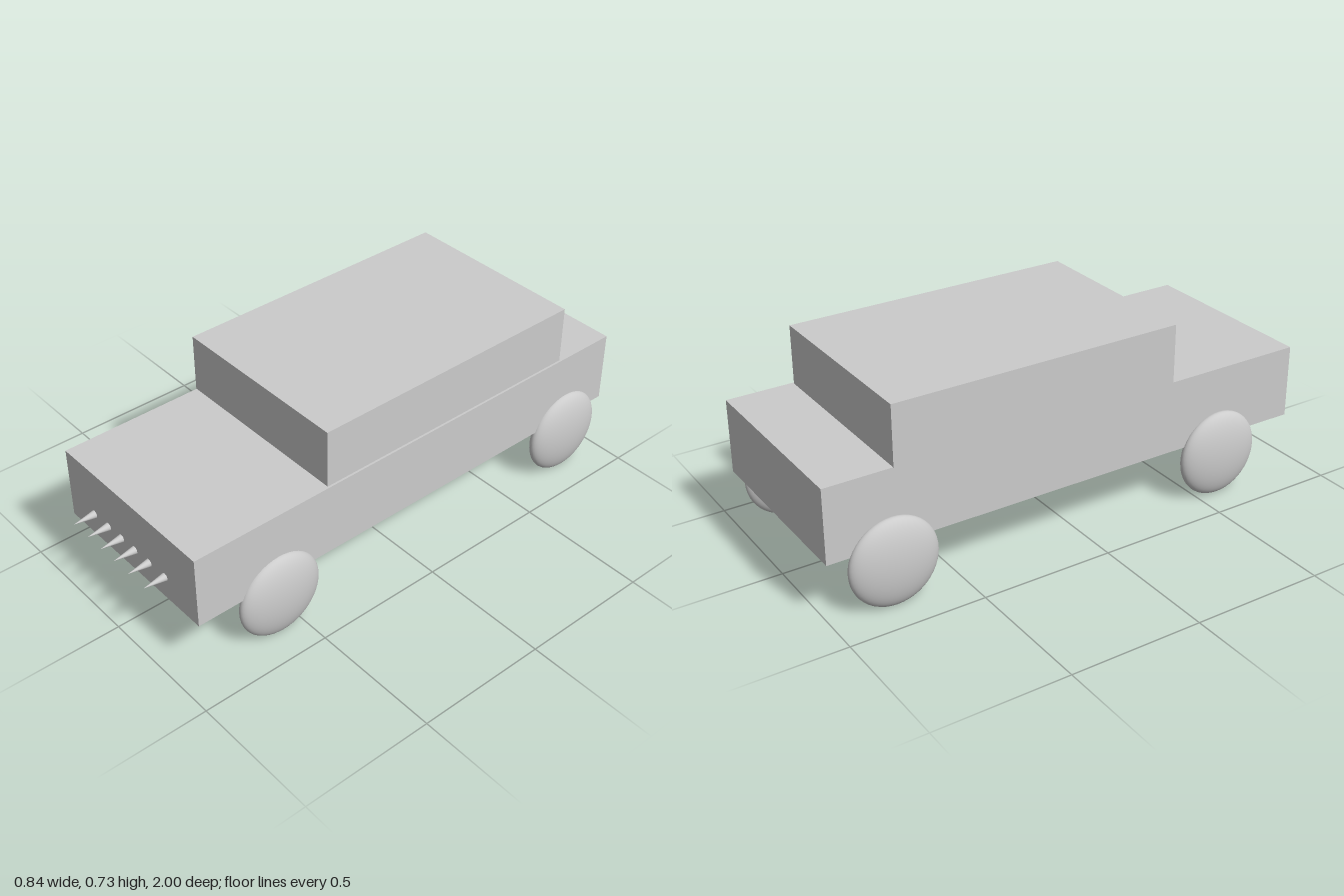
import * as THREE from 'three';

const grey = new THREE.MeshStandardMaterial({ color: 0xcccccc });

function addMesh(parent, name, geometry, x, y, z) {
  const mesh = new THREE.Mesh(geometry, grey);
  mesh.name = name;
  mesh.position.set(x, y, z);
  parent.add(mesh);
  return mesh;
}

// Box given by its lower and upper corners
function addBlock(parent, name, [x0, y0, z0], [x1, y1, z1]) {
  const geometry = new THREE.BoxGeometry(x1 - x0, y1 - y0, z1 - z0);
  return addMesh(parent, name, geometry, (x0 + x1) / 2, (y0 + y1) / 2, (z0 + z1) / 2);
}

export function createModel() {
  const car = new THREE.Group();
  car.name = 'car';

  // Lower body and cabin
  addBlock(car, 'body', [-0.363, 0.228, -1], [0.369, 0.506, 0.916]);
  addBlock(car, 'cabin', [-0.365, 0.503, -0.748], [0.361, 0.728, 0.367]);

  // Wheels: flattened spheres, the rear pair slightly staggered
  const wheelGeometry = new THREE.SphereGeometry(0.165, 48, 32);
  wheelGeometry.rotateZ(Math.PI / 2);
  wheelGeometry.scale(0.053 / 0.165, 1, 1);
  const wheels = [
    ['frontLeftWheel', 0.366, 0.585],
    ['frontRightWheel', -0.368, 0.585],
    ['rearLeftWheel', 0.366, -0.796],
    ['rearRightWheel', -0.368, -0.764],
  ];
  for (const [name, x, z] of wheels) addMesh(car, name, wheelGeometry, x, 0.167, z);

  // Row of forward-pointing spikes on the nose
  const spikes = new THREE.Group();
  spikes.name = 'noseSpikes';
  const spikeGeometry = new THREE.ConeGeometry(0.015, 0.086, 32);
  spikeGeometry.rotateX(Math.PI / 2);
  for (const x of [-0.217, -0.133, -0.055, 0.022, 0.104, 0.193]) {
    addMesh(spikes, 'spike', spikeGeometry, x, 0.319, 0.957);
  }
  car.add(spikes);

  return car;
}
